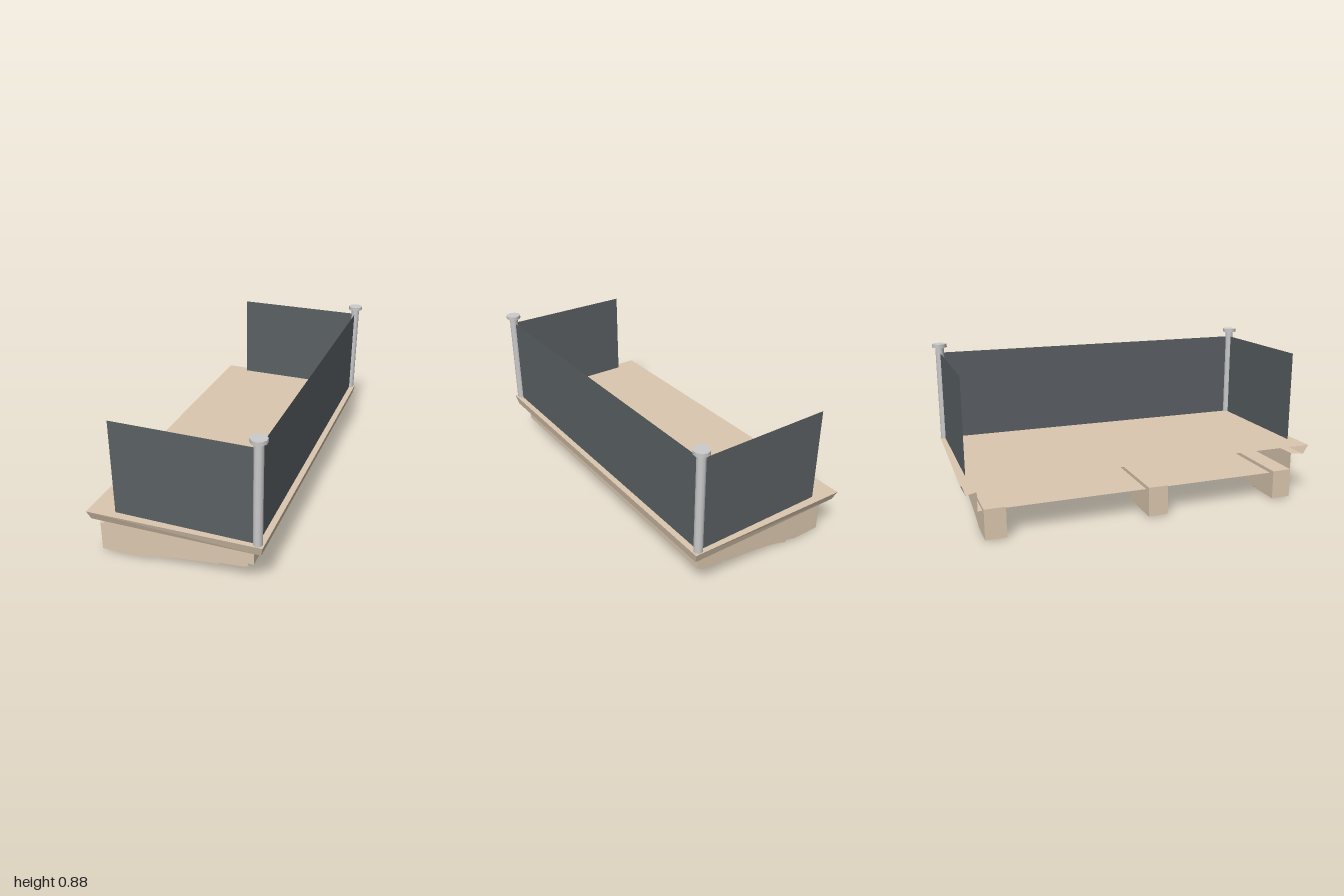
import * as THREE from 'three';

const wood = new THREE.MeshStandardMaterial({ color: 0xdcc8b0, side: THREE.DoubleSide, flatShading: true });
const glass = new THREE.MeshStandardMaterial({ color: 0x5a6064, side: THREE.DoubleSide });
const metal = new THREE.MeshStandardMaterial({ color: 0xcccccc });

function add(parent, name, geometry, material, x = 0, y = 0, z = 0) {
  const mesh = new THREE.Mesh(geometry, material);
  mesh.name = name;
  mesh.position.set(x, y, z);
  parent.add(mesh);
  return mesh;
}

// Shell open towards the wall (-x). Each level: [y, backX, backZ, frontX, frontZ].
function openShell(levels, capTop, capBottom) {
  const rings = levels.map(([y, bx, bz, fx, fz]) =>
    [[bx, y, bz], [fx, y, fz], [fx, y, -fz], [bx, y, -bz]]);
  const pos = [];
  const quad = (a, b, c, d) => pos.push(...a, ...b, ...c, ...a, ...c, ...d);
  for (let r = 0; r < rings.length - 1; r++) {
    for (let i = 0; i < 3; i++) {
      quad(rings[r][i], rings[r + 1][i], rings[r + 1][i + 1], rings[r][i + 1]);
    }
  }
  if (capTop) quad(...rings[0]);
  if (capBottom) quad(...[...rings[rings.length - 1]].reverse());
  const g = new THREE.BufferGeometry();
  g.setAttribute('position', new THREE.Float32BufferAttribute(pos, 3));
  g.computeVertexNormals();
  return g;
}

// Side profile in x/y, extruded along z and centred on it.
function profile(points, width) {
  const shape = new THREE.Shape(points.map(([x, y]) => new THREE.Vector2(x, y)));
  return new THREE.ExtrudeGeometry(shape, { depth: width, bevelEnabled: false }).translate(0, 0, -width / 2);
}

export function createModel() {
  const model = new THREE.Group();
  model.name = 'balcony';

  // Floor slab with slanted edges and a ledge underneath
  add(model, 'floorSlab', openShell([
    [0.313, -0.47, 1, 0.458, 0.98],
    [0.258, -0.46, 0.975, 0.446, 0.962],
    [0.258, -0.427, 0.915, 0.393, 0.915],
  ], true, false), wood);

  // Recessed base under the slab
  add(model, 'base', openShell([
    [0.258, -0.427, 0.915, 0.393, 0.915],
    [0.155, -0.427, 0.915, 0.393, 0.915],
  ], false, true), wood);

  // Curved support brackets, each with a narrower trim strip
  const underside = [[-0.295, 0.01], [-0.255, 0.021], [-0.2, 0.037], [-0.11, 0.056],
    [0, 0.073], [0.1, 0.086], [0.182, 0.096]];
  const bracketGeo = profile([
    [-0.465, 0.175], [-0.465, 0.01], ...underside,
    [0.3, 0.106], [0.335, 0.11], [0.35, 0.114], [0.357, 0.123], [0.357, 0.175],
  ], 0.113);
  const trimGeo = profile([
    ...underside.slice(1),
    [0.195, 0.078], [0.1, 0.069], [0, 0.056], [-0.11, 0.038], [-0.18, 0.022], [-0.24, 0.002],
  ].reverse(), 0.09);
  for (const z of [0.835, 0.058, -0.835]) {
    const bracket = new THREE.Group();
    bracket.name = 'bracket';
    bracket.position.z = z;
    add(bracket, 'bracketBody', bracketGeo, wood);
    add(bracket, 'bracketTrim', trimGeo, wood);
    model.add(bracket);
  }

  // Corner posts with flat caps, and the side panels
  const postGeo = new THREE.CylinderGeometry(0.024, 0.024, 0.549, 10);
  const capGeo = new THREE.CylinderGeometry(0.042, 0.042, 0.02, 10);
  for (const s of [1, -1]) {
    add(model, 'post', postGeo, metal, 0.426, 0.5865, s * 0.953);
    add(model, 'postCap', capGeo, metal, 0.426, 0.87, s * 0.953);
    add(model, 'sidePanel', new THREE.PlaneGeometry(0.735, 0.515), glass, 0.0385, 0.5705, s * 0.953);
  }

  // Long outer panel between the posts
  const outer = add(model, 'outerPanel', new THREE.PlaneGeometry(1.87, 0.515), glass, 0.426, 0.5705, 0);
  outer.rotation.y = Math.PI / 2;

  return model;
}
